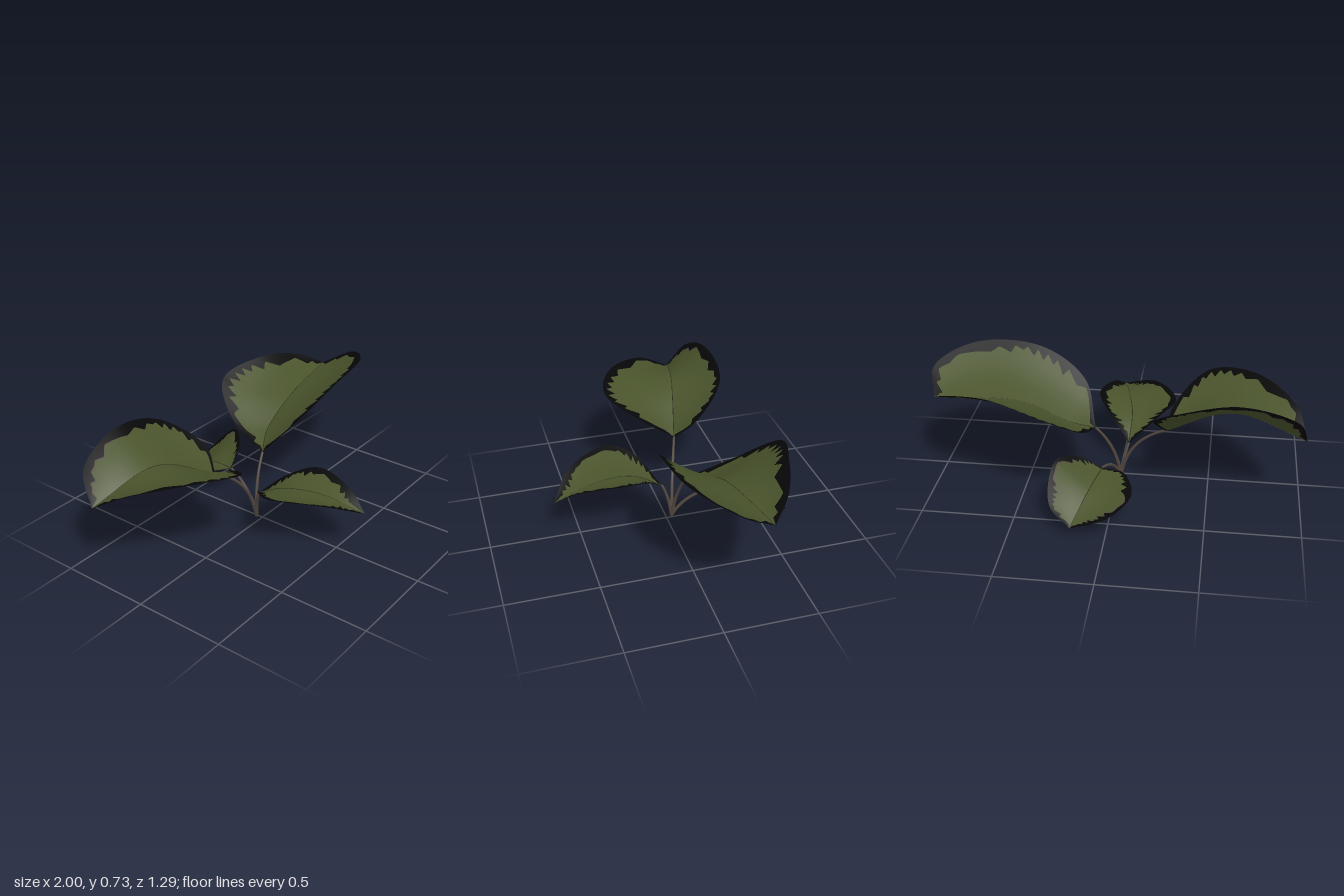
import * as THREE from 'three';

const material = (name, color) => {
  const m = new THREE.MeshStandardMaterial({ color, side: THREE.DoubleSide });
  m.name = name;
  return m;
};

const vec = (p) => new THREE.Vector3(...p);
const curve = (...pts) => new THREE.CatmullRomCurve3(pts.map(vec));

// Seeded value between 0 and 1 for tooth number i.
const hash = (i, seed) => {
  const s = Math.sin(i * 127.1 + seed * 311.7) * 43758.5453;
  return s - Math.floor(s);
};

// Uneven saw-tooth width of the dark margin along an edge, wider near the tip.
function marginWidth(u, base, seed) {
  const t = u * 14 + 0.9 * Math.sin(u * 11 + seed);
  const i = Math.floor(t), f = t - i;
  const tooth = (f < 0.35 ? f / 0.35 : (1 - f) / 0.65) * (0.2 + 1.2 * hash(i, seed));
  const drift = 0.2 * Math.sin(u * 17 + seed * 2);
  return base * (0.45 + 0.5 * u + drift + tooth);
}

// One half of a blade between midrib and rim: green field, thin fringe and
// dark margin as material groups.
function halfBlade(rib, rim, margin, fringeWidth, seed, flip) {
  const rows = 140, bands = [6, 1, 3];
  const stride = 11;
  const pos = [], index = [];
  for (let i = 0; i <= rows; i++) {
    const u = i / rows;
    const a = rib.getPointAt(u), b = rim.getPointAt(u);
    const half = Math.max(a.distanceTo(b), 1e-4);
    const edge = 1 - Math.min(marginWidth(u, margin, seed) / half, 0.7);
    const fringe = fringeWidth * Math.max(0.05, Math.sin(u * 6 + seed)) / half;
    const stops = [0, Math.max(edge - fringe, edge * 0.8), edge, 1];
    bands.forEach((n, k) => {
      for (let j = k ? 1 : 0; j <= n; j++) {
        const v = THREE.MathUtils.lerp(stops[k], stops[k + 1], j / n);
        const p = a.clone().lerp(b, v);
        p.y -= 0.05 * half * Math.sin(Math.PI * v);
        pos.push(p.x, p.y, p.z);
      }
    });
  }
  const geo = new THREE.BufferGeometry();
  let col = 0;
  bands.forEach((n, k) => {
    const start = index.length;
    for (let i = 0; i < rows; i++) {
      for (let j = col; j < col + n; j++) {
        const p = i * stride + j, q = p + stride;
        if (flip) index.push(p, p + 1, q, p + 1, q + 1, q);
        else index.push(p, q, p + 1, p + 1, q, q + 1);
      }
    }
    geo.addGroup(start, index.length - start, k);
    col += n;
  });
  geo.setAttribute('position', new THREE.Float32BufferAttribute(pos, 3));
  geo.setIndex(index);
  geo.computeVertexNormals();
  return geo;
}

// Tube whose radius narrows from r0 to r1.
function taperedTube(path, r0, r1, segments, sides) {
  const geo = new THREE.TubeGeometry(path, segments, 1, sides);
  const p = geo.attributes.position, n = geo.attributes.normal;
  for (let i = 0; i < p.count; i++) {
    const t = Math.floor(i / (sides + 1)) / segments;
    const d = 1 - THREE.MathUtils.lerp(r0, r1, t);
    p.setXYZ(i, p.getX(i) - n.getX(i) * d, p.getY(i) - n.getY(i) * d, p.getZ(i) - n.getZ(i) * d);
  }
  return geo;
}

export function createModel() {
  const model = new THREE.Group();
  model.name = 'plant';
  const green = material('leaf green', 0x49532b);
  const dark = material('margin black', 0x070707);
  const brown = material('stem brown', 0x51463f);
  const ribGreen = material('midrib dark green', 0x2b301b);
  const root = [-0.012, 0.01, -0.033];

  // A leaf grows from base along the middle to tip; left and right are the
  // edges on either side of that direction, bend pulls its stem into an arch.
  function addLeaf(name, { bend, base, middle, tip, left, right, margin, fringe, seed }) {
    const group = new THREE.Group();
    group.name = name;
    const add = (part, geo, mat) => {
      const mesh = new THREE.Mesh(geo, mat);
      mesh.name = part;
      group.add(mesh);
    };
    const rib = curve(base, ...middle, tip);
    const stem = new THREE.QuadraticBezierCurve3(vec(root), vec(bend), vec(base));
    const blade = [green, brown, dark];
    add('leftBlade', halfBlade(rib, curve(base, ...left, tip), margin, fringe, seed, false), blade);
    add('rightBlade', halfBlade(rib, curve(base, ...right, tip), margin, fringe, seed + 7, true), blade);
    add('midrib', taperedTube(rib, 0.003, 0.001, 40, 6), ribGreen);
    add('stem', taperedTube(stem, 0.01, 0.007, 32, 10), brown);
    model.add(group);
  }

  addLeaf('leftLeaf', {
    bend: [0.006, 0.219, -0.058], base: [0.12, 0.345, -0.09],
    middle: [[0.25, 0.41, -0.157], [0.5, 0.53, -0.176]], tip: [0.955, 0.565, -0.25],
    left: [[0.16, 0.44, -0.32], [0.31, 0.61, -0.525], [0.6, 0.672, -0.455], [0.83, 0.635, -0.36]],
    right: [[0.2, 0.55, 0.08], [0.45, 0.7, 0.155], [0.8, 0.73, 0.11], [0.995, 0.665, -0.08]],
    margin: 0.046, fringe: 0, seed: 1,
  });
  addLeaf('rightLeaf', {
    bend: [-0.044, 0.259, -0.044], base: [-0.26, 0.37, -0.12],
    middle: [[-0.62, 0.55, -0.21]], tip: [-1, 0.455, -0.29],
    left: [[-0.3, 0.46, 0.03], [-0.48, 0.58, 0.225], [-0.72, 0.615, 0.145], [-0.94, 0.56, -0.1]],
    right: [[-0.205, 0.48, -0.23], [-0.35, 0.64, -0.42], [-0.65, 0.71, -0.44], [-0.94, 0.61, -0.39]],
    margin: 0.04, fringe: 0.009, seed: 2,
  });
  addLeaf('frontLeaf', {
    bend: [-0.029, 0.134, -0.021], base: [-0.05, 0.2, 0.015],
    middle: [[-0.05, 0.29, 0.19], [-0.01, 0.31, 0.4]], tip: [0.04, 0.255, 0.643],
    left: [[0.06, 0.3, 0.125], [0.148, 0.36, 0.28], [0.095, 0.325, 0.52]],
    right: [[-0.21, 0.32, 0.125], [-0.292, 0.36, 0.25], [-0.155, 0.345, 0.51]],
    margin: 0.036, fringe: 0, seed: 3,
  });
  addLeaf('backLeaf', {
    bend: [0.016, 0.16, -0.1], base: [0.06, 0.205, -0.27],
    middle: [[0.11, 0.168, -0.45]], tip: [0.18, 0.062, -0.642],
    left: [[-0.06, 0.22, -0.33], [-0.12, 0.19, -0.5], [-0.01, 0.125, -0.625]],
    right: [[0.18, 0.29, -0.305], [0.285, 0.32, -0.42], [0.29, 0.16, -0.59]],
    margin: 0.028, fringe: 0.01, seed: 4,
  });
  return model;
}
